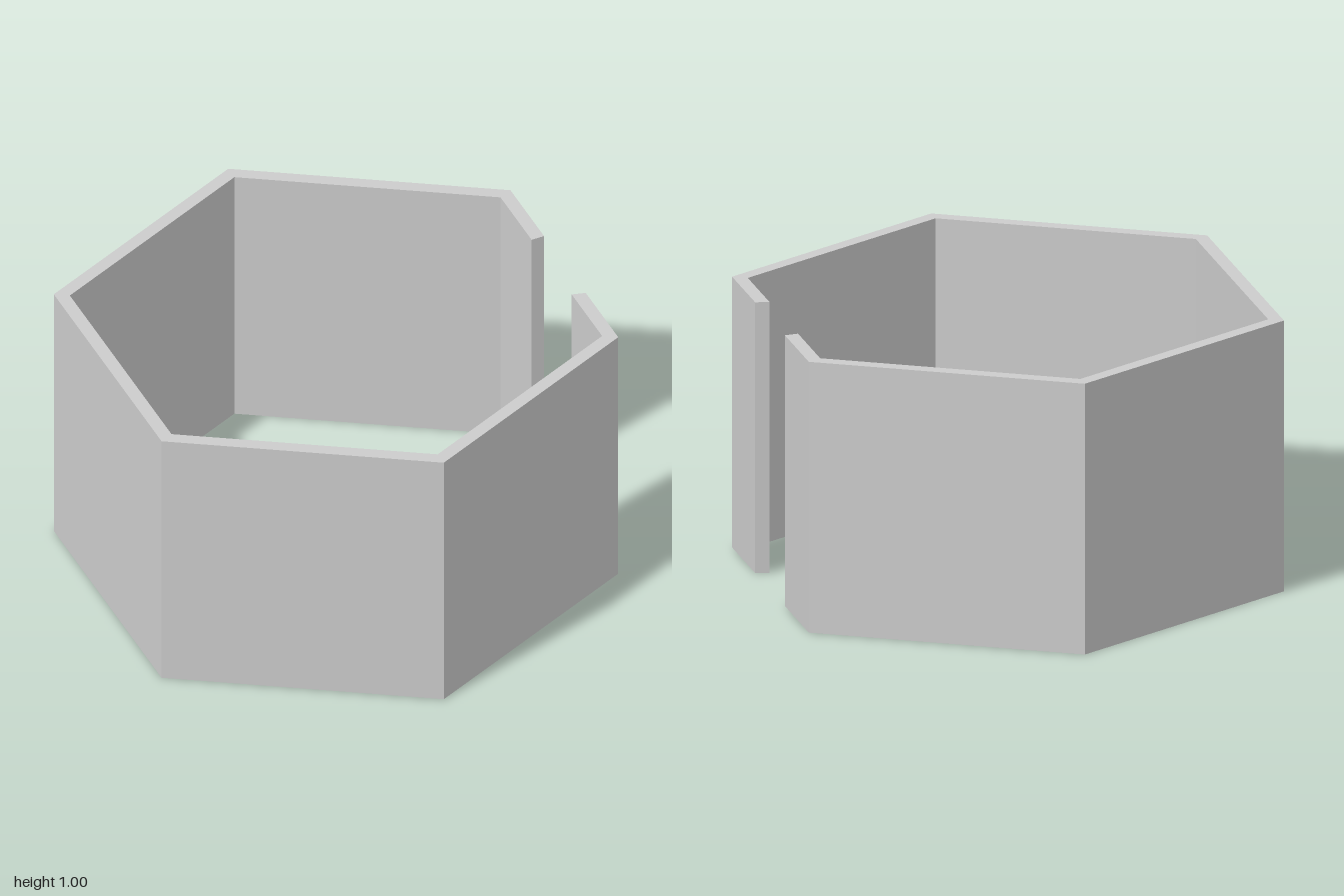
import * as THREE from 'three';

const HEIGHT = 1;
const OUTER_R = 1, INNER_R = 0.943;

// Point on the slotted hexagon side (+x, +z) at depth z, for a hexagon of radius r
const slotPoint = (r, z) => new THREE.Vector2(r - z / Math.sqrt(3), -z);

// Corners of the hexagon, anticlockwise from +x round the back to the front
const corners = (r) => Array.from({ length: 6 }, (_, i) =>
  new THREE.Vector2(r * Math.cos(i * Math.PI / 3), r * Math.sin(i * Math.PI / 3)));

export function createModel() {
  const group = new THREE.Group();
  group.name = 'slottedHexagonRing';

  // Open ring: along the outside from one slot edge to the other, back along the inside
  const outline = new THREE.Shape([
    slotPoint(OUTER_R, 0.27), ...corners(OUTER_R), slotPoint(OUTER_R, 0.605),
    slotPoint(INNER_R, 0.572), ...corners(INNER_R).reverse(), slotPoint(INNER_R, 0.25),
  ]);

  // Stand the wall upright on the ground
  const geometry = new THREE.ExtrudeGeometry(outline, { depth: HEIGHT, bevelEnabled: false });
  geometry.rotateX(-Math.PI / 2);

  const wall = new THREE.Mesh(geometry,
    new THREE.MeshStandardMaterial({ color: 0xcccccc, flatShading: true }));
  wall.name = 'hexagonWall';
  group.add(wall);
  return group;
}
